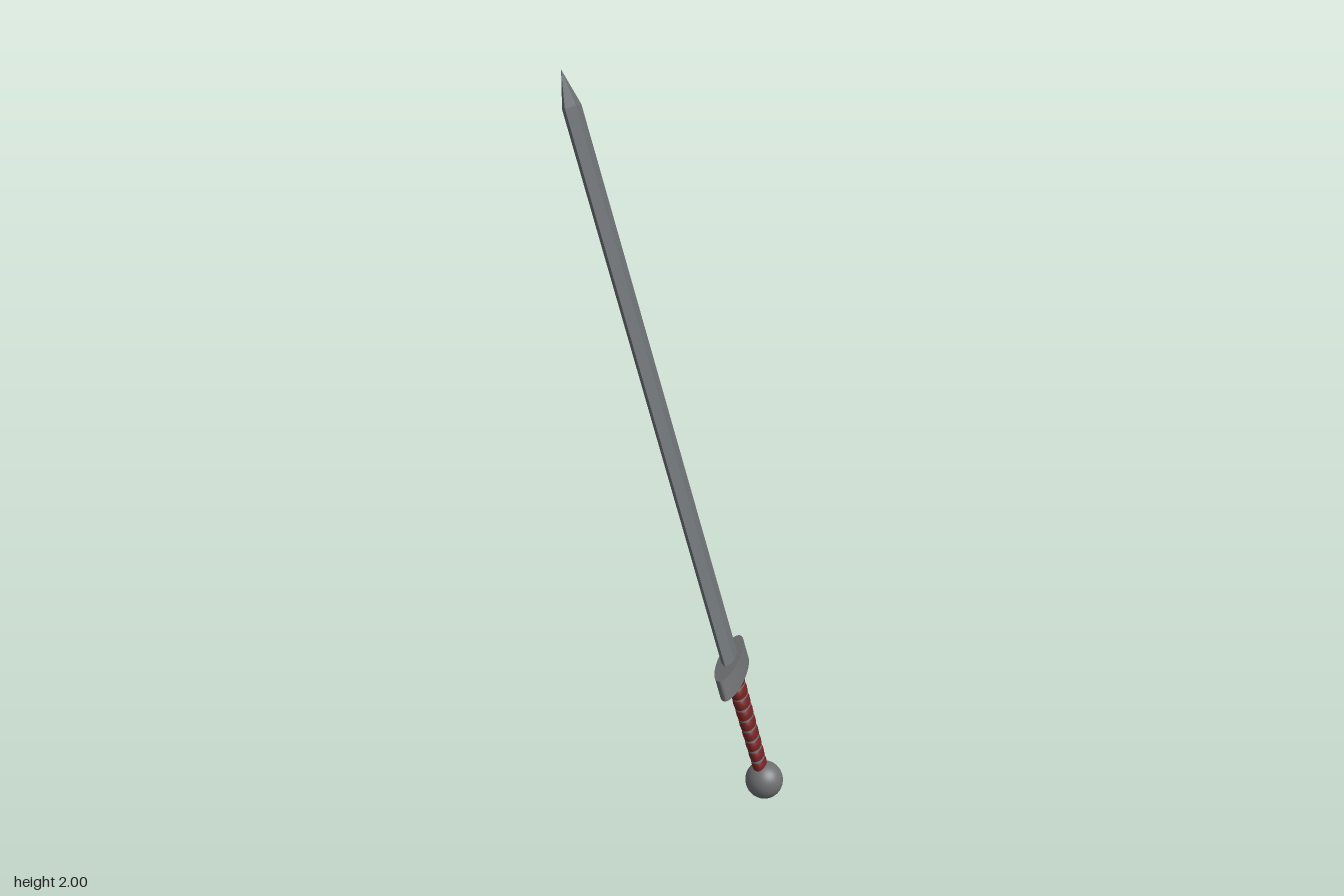
import * as THREE from 'three';
import { ConvexGeometry } from 'three/addons/geometries/ConvexGeometry.js';

const steel = new THREE.MeshStandardMaterial({ color: 0x6c7174 });
steel.name = 'bladeSteel';
const iron = new THREE.MeshStandardMaterial({ color: 0x6c6e70 });
iron.name = 'fittingIron';
const leather = new THREE.MeshStandardMaterial({ color: 0x742222 });
leather.name = 'redLeather';

function part(name, geometry, material, parent) {
  const mesh = new THREE.Mesh(geometry, material);
  mesh.name = name;
  parent.add(mesh);
  return mesh;
}

// Hexagonal section (thin in x, wide in z) running up to a point
function bladeGeometry() {
  const halfWidth = 0.065, halfFlat = 0.026, halfThick = 0.019;
  const points = [new THREE.Vector3(0, 2.039, 0)];
  for (const y of [0.35, 1.944]) {
    for (const s of [-1, 1]) {
      points.push(new THREE.Vector3(0, y, s * halfWidth));
      for (const f of [-1, 1]) points.push(new THREE.Vector3(s * halfThick, y, f * halfFlat));
    }
  }
  return new ConvexGeometry(points);
}

export function createModel() {
  const model = new THREE.Group();
  model.name = 'sword';

  // Upright sword with the pommel centre at its origin
  const sword = new THREE.Group();
  sword.name = 'leaningSword';
  model.add(sword);

  part('blade', bladeGeometry(), steel, sword);

  // Oval crossguard
  const guard = part('guard', new THREE.CylinderGeometry(1, 1, 0.06, 48), iron, sword);
  guard.scale.set(0.034, 1, 0.152);
  guard.position.y = 0.358;

  // Flattened grip: iron core showing between rounded leather wraps
  const grip = new THREE.Group();
  grip.name = 'grip';
  grip.scale.x = 0.62;
  sword.add(grip);
  const core = part('gripCore', new THREE.CylinderGeometry(0.037, 0.031, 0.32, 28), iron, grip);
  core.position.y = 0.18;
  const bands = 9, bottom = 0.04, pitch = 0.033;
  for (let i = 0; i < bands; i++) {
    const r = 0.0325 + 0.006 * i / (bands - 1), h = pitch / 2 - 0.001;
    const profile = [[r - 0.003, -h], [r, -h * 0.8], [r + 0.0015, 0], [r, h * 0.8], [r - 0.003, h]];
    const wrap = part('gripWrap', new THREE.LatheGeometry(profile.map(([x, y]) => new THREE.Vector2(x, y)), 28), leather, grip);
    wrap.position.y = bottom + pitch * (i + 0.5);
    wrap.rotation.x = 0.09;
  }

  part('pommel', new THREE.SphereGeometry(0.054, 32, 20), iron, sword);

  // Lean the whole sword: y along the blade, z along the guard
  const along = new THREE.Vector3(-0.52, 1.945, -0.327).normalize();
  const across = new THREE.Vector3(-0.265, 0.085, 0.96);
  const side = new THREE.Vector3().crossVectors(along, across).normalize();
  across.crossVectors(side, along);
  sword.quaternion.setFromRotationMatrix(new THREE.Matrix4().makeBasis(side, along, across));
  sword.position.set(0.235, 0.054, 0.14);
  return model;
}
